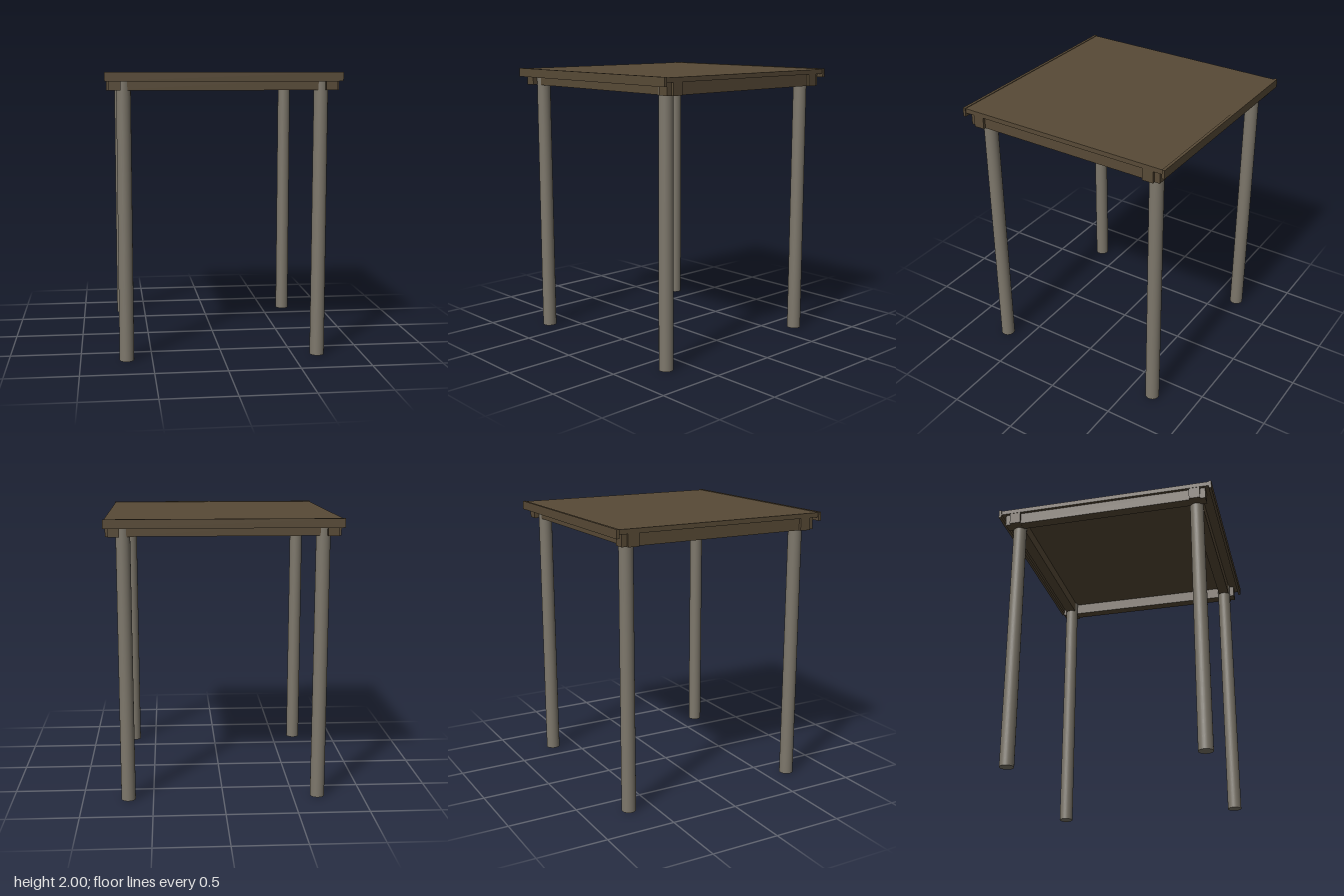
import * as THREE from 'three';

export function createModel() {
  const model = new THREE.Group();
  const wood = new THREE.MeshStandardMaterial({ name: 'dark wood', color: 0x584a36 });
  const grey = new THREE.MeshStandardMaterial({ name: 'weathered grey', color: 0x7d776b });

  const add = (name, geometry, material, x, y, z) => {
    const mesh = new THREE.Mesh(geometry, material);
    mesh.name = name;
    mesh.position.set(x, y, z);
    model.add(mesh);
  };
  // box given by its size, bottom height and centre
  const board = (name, w, h, d, x, bottom, z) =>
    add(name, new THREE.BoxGeometry(w, h, d), wood, x, bottom + h / 2, z);

  // flat top
  board('top', 1.596, 0.033, 1.58, 0, 1.963, 0);

  for (const s of [-1, 1]) {
    // fascia boards capping the front and back edges of the top
    board(s > 0 ? 'frontFascia' : 'backFascia', 1.61, 0.062, 0.02, 0, 1.938, s * 0.797);
    // crossing rails, lapped at the corners
    board(s > 0 ? 'frontRail' : 'backRail', 1.59, 0.086, 0.08, 0, 1.877, s * 0.68);
    board(s > 0 ? 'leftRail' : 'rightRail', 0.077, 0.085, 1.516, s * 0.738, 1.878, 0);
  }

  // round posts, barely tapered, rising through the rails
  const post = new THREE.CylinderGeometry(0.049, 0.051, 1.96, 32);
  for (const x of [-1, 1])
    for (const z of [-1, 1])
      add(`${z > 0 ? 'front' : 'back'}${x > 0 ? 'Left' : 'Right'}Post`, post, grey, x * 0.678, 0.98, z * 0.678);

  return model;
}
